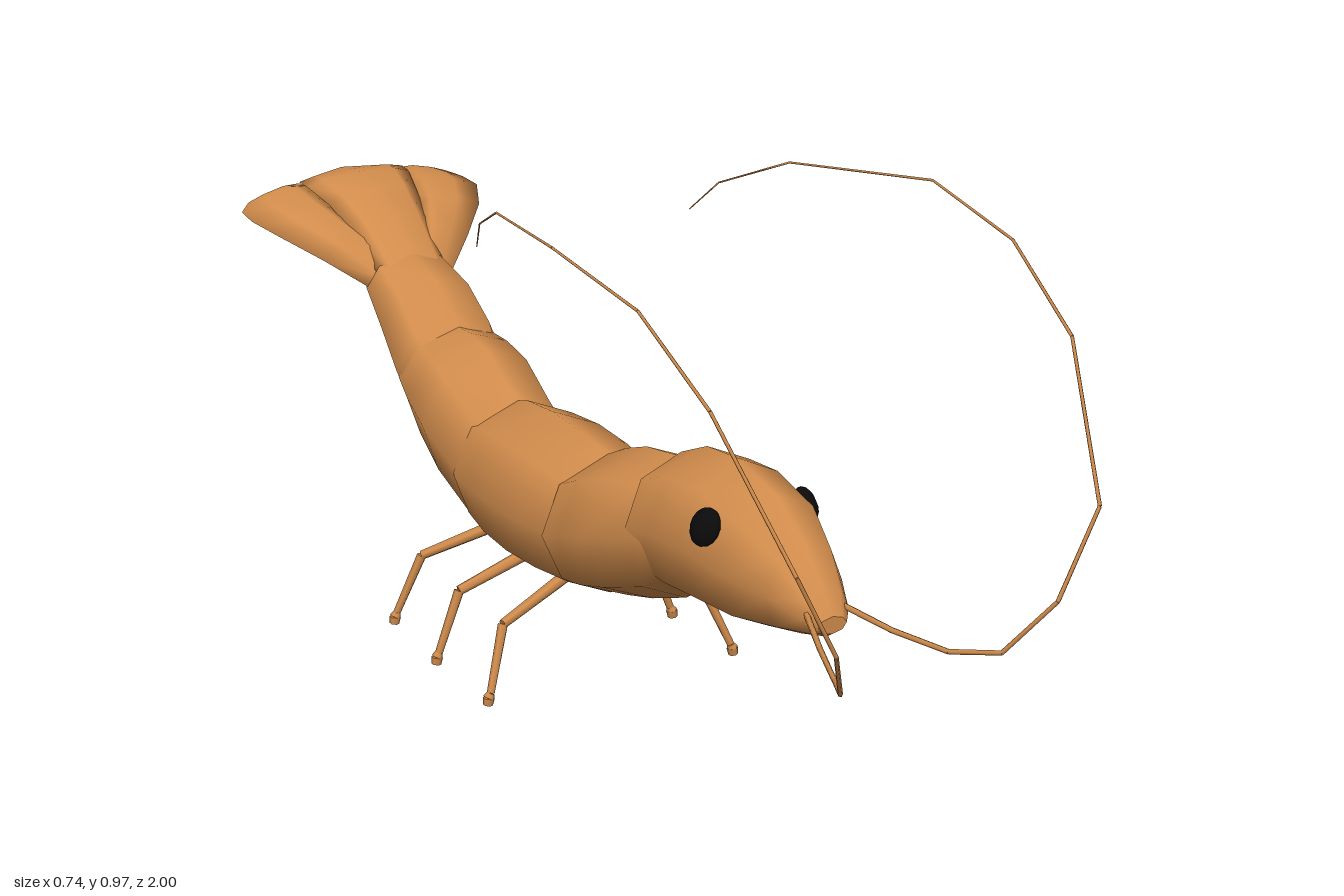
import * as THREE from 'three';
import { mergeGeometries } from 'three/addons/utils/BufferGeometryUtils.js';

const V = (x, y, z) => new THREE.Vector3(x, y, z);

// Skin over rings of points running front to back, with flat end caps
function loft(rings) {
  const n = rings[0].length, pos = [], idx = [];
  rings.forEach(r => r.forEach(p => pos.push(p.x, p.y, p.z)));
  for (let r = 0; r < rings.length - 1; r++) {
    for (let i = 0; i < n; i++) {
      const a = r * n + i, b = r * n + (i + 1) % n;
      idx.push(a, b, a + n, b, b + n, a + n);
    }
  }
  [rings[0], rings[rings.length - 1]].forEach((ring, end) => {
    const base = pos.length / 3;
    const mid = ring.reduce((s, p) => s.add(p), V(0, 0, 0)).divideScalar(n);
    [...ring, mid].forEach(p => pos.push(p.x, p.y, p.z));
    for (let i = 0; i < n; i++) {
      const a = base + i, b = base + (i + 1) % n;
      if (end) idx.push(a, b, base + n); else idx.push(b, a, base + n);
    }
  });
  const g = new THREE.BufferGeometry();
  g.setAttribute('position', new THREE.Float32BufferAttribute(pos, 3));
  g.setIndex(idx);
  g.computeVertexNormals();
  return g;
}

// Eight-sided shell ring: top (z, y), bottom (z, y), half width
function shellRing([zt, yt, zb, yb, w]) {
  return Array.from({ length: 8 }, (_, i) => {
    const t = i * Math.PI / 4, c = Math.cos(t);
    return V(w * Math.sin(t), (yt + yb) / 2 + c * (yt - yb) / 2, (zt + zb) / 2 + c * (zt - zb) / 2);
  });
}

// Lens-shaped fin ring between an inner and an outer edge (x, y, z)
function finRing([a, b, thick]) {
  const p = V(...a), q = V(...b);
  return [[0, 0], [0.3, 1], [0.7, 0.8], [1, 0], [0.7, -0.8], [0.3, -1]].map(([t, s]) =>
    p.clone().lerp(q, t).add(V(0, s * thick, 0)));
}

// Chain of tapered rods through points
function rods(points, radii, sides) {
  const parts = [];
  for (let i = 0; i < points.length - 1; i++) {
    const a = V(...points[i]), b = V(...points[i + 1]), d = b.clone().sub(a);
    const g = new THREE.CylinderGeometry(radii[i + 1], radii[i], d.length(), sides);
    g.applyQuaternion(new THREE.Quaternion().setFromUnitVectors(V(0, 1, 0), d.normalize()));
    const m = a.add(b).multiplyScalar(0.5);
    parts.push(g.translate(m.x, m.y, m.z));
  }
  return mergeGeometries(parts);
}

export function createModel() {
  const model = new THREE.Group();
  const shell = new THREE.MeshStandardMaterial({ color: 0xd18c4c });
  shell.name = 'orange shell';
  const black = new THREE.MeshStandardMaterial({ color: 0x0b0b0b });
  black.name = 'eye black';
  const add = (name, geo, mat = shell) => {
    const m = new THREE.Mesh(geo, mat);
    m.name = name;
    model.add(m);
    return m;
  };

  // Head and overlapping body segments
  const segments = {
    head: [
      [0.685, 0.36, 0.685, 0.33, 0.028], [0.66, 0.395, 0.67, 0.32, 0.045], [0.60, 0.46, 0.60, 0.30, 0.076],
      [0.52, 0.515, 0.50, 0.278, 0.105], [0.40, 0.543, 0.40, 0.272, 0.116], [0.31, 0.535, 0.31, 0.268, 0.12],
      [0.23, 0.50, 0.24, 0.275, 0.115]],
    frontSegment: [
      [0.26, 0.475, 0.30, 0.275, 0.105], [0.22, 0.49, 0.25, 0.24, 0.122], [0.12, 0.475, 0.14, 0.20, 0.14],
      [0.05, 0.45, 0.06, 0.178, 0.14], [-0.02, 0.415, -0.01, 0.168, 0.132]],
    middleSegment: [
      [0.03, 0.40, 0.03, 0.18, 0.11], [-0.01, 0.422, 0, 0.162, 0.122], [-0.10, 0.434, -0.10, 0.155, 0.136],
      [-0.20, 0.442, -0.20, 0.152, 0.138], [-0.29, 0.436, -0.29, 0.16, 0.132], [-0.34, 0.42, -0.36, 0.178, 0.122]],
    rearSegment: [
      [-0.29, 0.41, -0.29, 0.17, 0.11], [-0.35, 0.44, -0.37, 0.178, 0.118], [-0.44, 0.492, -0.47, 0.225, 0.126],
      [-0.50, 0.505, -0.55, 0.28, 0.12], [-0.55, 0.505, -0.60, 0.328, 0.11]],
    tailSegment: [
      [-0.51, 0.48, -0.55, 0.33, 0.095], [-0.56, 0.522, -0.60, 0.335, 0.112], [-0.63, 0.575, -0.67, 0.41, 0.105],
      [-0.72, 0.60, -0.74, 0.49, 0.092], [-0.74, 0.60, -0.76, 0.52, 0.08]],
  };
  for (const [name, rows] of Object.entries(segments)) add(name, loft(rows.map(shellRing)));

  // Centre blade of the tail fan
  add('tailBlade', loft([
    [-0.70, 0.585, -0.72, 0.535, 0.07], [-0.80, 0.66, -0.81, 0.61, 0.082], [-0.87, 0.695, -0.87, 0.65, 0.095],
    [-0.93, 0.71, -0.93, 0.68, 0.11], [-0.96, 0.708, -0.96, 0.688, 0.112], [-1.0, 0.702, -1.0, 0.694, 0.01],
  ].map(shellRing)));

  for (const s of [1, -1]) {
    const side = s > 0 ? 'left' : 'right';

    // Side lobe of the tail fan, ring order reversed when mirrored
    const lobe = [
      [[0.02, 0.545, -0.71], [0.08, 0.54, -0.72], 0.025], [[0.04, 0.61, -0.78], [0.155, 0.595, -0.78], 0.024],
      [[0.06, 0.645, -0.84], [0.215, 0.635, -0.84], 0.022], [[0.07, 0.67, -0.90], [0.244, 0.655, -0.90], 0.018],
      [[0.08, 0.69, -0.95], [0.24, 0.66, -0.95], 0.013], [[0.11, 0.692, -0.972], [0.215, 0.67, -0.972], 0.006],
    ].map(finRing);
    if (s < 0) lobe.forEach(r => { r.forEach(p => { p.x *= -1; }); r.reverse(); });
    add(side + 'TailLobe', loft(lobe));

    // Eye
    const eye = add(side + 'Eye', new THREE.SphereGeometry(1, 10, 8), black);
    eye.scale.set(0.017, 0.034, 0.03);
    eye.position.set(s * 0.1, 0.46, 0.46);
    eye.rotation.set(0.25, -s * 0.2, s * 0.35, 'ZYX');

    // Long curled antenna
    const feeler = [
      [0.035, 0.365, 0.66], [0.07, 0.345, 0.75], [0.11, 0.335, 0.85], [0.155, 0.352, 0.93], [0.21, 0.45, 0.995],
      [0.285, 0.595, 0.995], [0.34, 0.82, 0.84], [0.355, 0.93, 0.66], [0.366, 0.97, 0.425],
      [0.29, 0.937, 0.115], [0.24, 0.873, -0.03], [0.215, 0.815, -0.085]];
    add(side + 'Antenna', rods(feeler.map(([x, y, z]) => [s * x, y, z]),
      feeler.map((_, i) => 0.0055 - 0.0004 * i), 5));

    // Three jointed walking legs, each ending in a small foot
    const shift = s > 0 ? 0 : -0.035;
    [[-0.04, 0.005, 0.035, 0.25], [-0.17, -0.17, -0.17, 0.24], [-0.31, -0.355, -0.375, 0.215]]
      .forEach(([hip, knee, foot, reach], i) => {
        const x = s > 0 ? 0.237 : reach, z = foot + shift;
        const path = [[0.05, 0.19, hip + shift * 0.5], [x - 0.047, 0.135, knee + shift], [x - 0.004, 0.024, z],
          [x, 0.016, z], [x + 0.002, 0.003, z]];
        add(side + 'Leg' + (i + 1), rods(path.map(([px, y, pz]) => [s * px, y, pz]),
          [0.012, 0.009, 0.007, 0.0105, 0.009], 6));
      });
  }
  return model;
}
